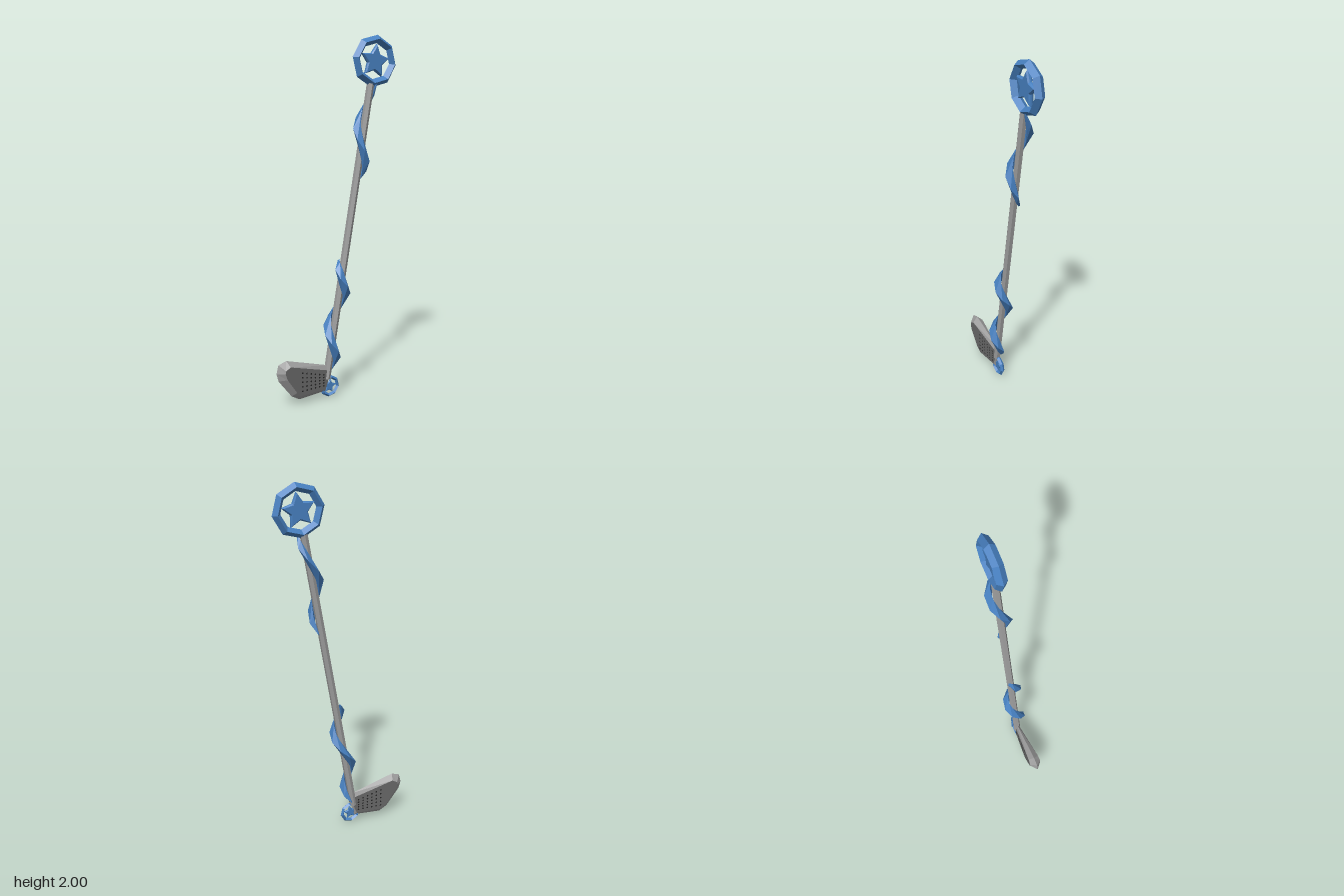
import * as THREE from 'three';
import { mergeGeometries } from 'three/addons/utils/BufferGeometryUtils.js';

const steel = new THREE.MeshStandardMaterial({ color: 0x9c9c9c });
steel.name = 'steel';
const darkSteel = new THREE.MeshStandardMaterial({ color: 0x696969 });
darkSteel.name = 'darkSteel';
const holeBlack = new THREE.MeshStandardMaterial({ color: 0x262626 });
holeBlack.name = 'holeBlack';
const blue = new THREE.MeshStandardMaterial({ color: 0x4780c0 });
blue.name = 'blue';

const TILT = 0.173; // lean of the shaft
const axisX = (y) => -0.092 + 0.175 * y;

function flat(geometry) {
  const g = geometry.index ? geometry.toNonIndexed() : geometry;
  g.computeVertexNormals();
  return g;
}

function mesh(name, geometry, material) {
  const m = new THREE.Mesh(geometry, material);
  m.name = name;
  return m;
}

function fromTriangles(points) {
  const g = new THREE.BufferGeometry().setFromPoints(points);
  g.computeVertexNormals();
  return g;
}

// Eight-sided ring with a diamond section, holding a star
function starRing(name, radius, x, y) {
  const group = new THREE.Group();
  group.name = name;
  const profile = [[1, 0], [0.84, 0.2], [0.68, 0], [0.84, -0.2], [1, 0]]
    .map(([r, h]) => new THREE.Vector2(r * radius, h * radius));
  const ring = new THREE.LatheGeometry(profile, 8).rotateX(Math.PI / 2);
  group.add(mesh('ring', flat(ring), blue));

  const star = new THREE.Shape();
  for (let i = 0; i < 10; i++) {
    const r = radius * (i % 2 ? 0.29 : 0.58);
    const a = Math.PI / 2 + (i * Math.PI) / 5;
    star[i ? 'lineTo' : 'moveTo'](r * Math.cos(a), r * Math.sin(a));
  }
  star.closePath();
  const starGeo = new THREE.ExtrudeGeometry(star, {
    depth: radius * 0.08, bevelEnabled: true, bevelSegments: 1,
    bevelSize: radius * 0.05, bevelThickness: radius * 0.06,
  }).translate(0, 0, -radius * 0.04);
  group.add(mesh('star', flat(starGeo), blue));
  group.position.set(x, y, 0);
  group.rotation.z = -0.14;
  return group;
}

// Ridged band winding round the shaft; at y = yRight it lies on the +x side
function ribbon(name, y0, y1, yRight, pitch) {
  const steps = Math.round(((y1 - y0) / pitch) * 8);
  const sections = [];
  for (let i = 0; i <= steps; i++) {
    const y = y0 + ((y1 - y0) * i) / steps;
    const a = ((y - yRight) / pitch) * Math.PI * 2;
    const end = Math.min(1, 0.15 + 0.6 * Math.min(i, steps - i));
    sections.push([[0.028, -0.05], [0.032 + 0.03 * end, 0], [0.028, 0.05]].map(([r, h]) => {
      const py = y + h * end;
      return new THREE.Vector3(axisX(py) + r * Math.cos(a), py, r * Math.sin(a));
    }));
  }
  const tris = [];
  for (let i = 0; i < steps; i++) {
    const [s, t] = [sections[i], sections[i + 1]];
    for (let j = 0; j < 3; j++) {
      const k = (j + 1) % 3;
      tris.push(s[j], s[k], t[k], s[j], t[k], t[j]);
    }
  }
  const [first, last] = [sections[0], sections[steps]];
  tris.push(first[2], first[1], first[0], last[0], last[1], last[2]);
  return mesh(name, fromTriangles(tris), blue);
}

// Club head: a mid outline bevelled to a flat face on each side
const thickness = (u) => 0.012 + 0.022 * ((-0.06 - u) / 0.285);

function clubHead() {
  const group = new THREE.Group();
  group.name = 'clubHead';
  const rim = [[-0.06, 0.185], [-0.326, 0.257], [-0.374, 0.241], [-0.386, 0.193],
    [-0.374, 0.15], [-0.294, 0.05], [-0.246, 0.024], [-0.08, 0.04]];
  const face = [[-0.05, 0.155], [-0.315, 0.228], [-0.345, 0.212], [-0.348, 0.195],
    [-0.335, 0.16], [-0.275, 0.075], [-0.24, 0.052], [-0.09, 0.055]];
  const n = rim.length;
  const bevel = [];
  for (const side of [1, -1]) {
    const outer = rim.map(([u, y]) => new THREE.Vector3(u, y, 0));
    const inner = face.map(([u, y]) => new THREE.Vector3(u, y, side * thickness(u)));
    const plate = [];
    const add = (list, a, b, c) => list.push(...(side > 0 ? [a, b, c] : [a, c, b]));
    for (let i = 0; i < n; i++) {
      const k = (i + 1) % n;
      add(bevel, outer[i], outer[k], inner[k]);
      add(bevel, outer[i], inner[k], inner[i]);
      if (i > 0 && i < n - 1) add(plate, inner[0], inner[i], inner[k]);
    }
    const label = side > 0 ? 'front' : 'back';
    group.add(mesh(label + 'Face', fromTriangles(plate), darkSteel));

    // Rows of small dimples
    const dots = [];
    for (let c = 0; c < 6; c++) {
      const u = -0.24 + c * 0.028;
      const top = 0.18 - 0.275 * (u + 0.24);
      for (let r = 0; r < 5; r++) {
        const y = 0.078 + ((top - 0.078) * r) / 4;
        dots.push(new THREE.CircleGeometry(0.0055, 6)
          .rotateY(side > 0 ? 0.077 : Math.PI - 0.077)
          .translate(u, y, side * (thickness(u) + 0.0015)));
      }
    }
    group.add(mesh(label + 'Dimples', mergeGeometries(dots), holeBlack));
  }
  group.add(mesh('bevel', fromTriangles(bevel), steel));
  return group;
}

export function createModel() {
  const model = new THREE.Group();
  model.name = 'golfClub';
  const body = new THREE.Group();
  body.name = 'body';
  body.rotation.y = 0.13;
  model.add(body);

  // Six-sided shaft between the two rings
  const [y0, y1] = [0.11, 1.745];
  const shaft = mesh('shaft', flat(new THREE.CylinderGeometry(0.021, 0.021, (y1 - y0) / Math.cos(TILT), 6)), steel);
  shaft.position.set(axisX((y0 + y1) / 2), (y0 + y1) / 2, 0);
  shaft.rotation.z = -TILT;
  body.add(shaft);

  body.add(clubHead());
  body.add(starRing('topRing', 0.143, 0.237, 1.858));
  body.add(starRing('bottomRing', 0.062, -0.053, 0.064));
  body.add(ribbon('lowerRibbon', 0.14, 0.77, 0.2, 0.355));
  body.add(ribbon('upperRibbon', 1.2, 1.73, 1.25, 0.45));
  return model;
}
